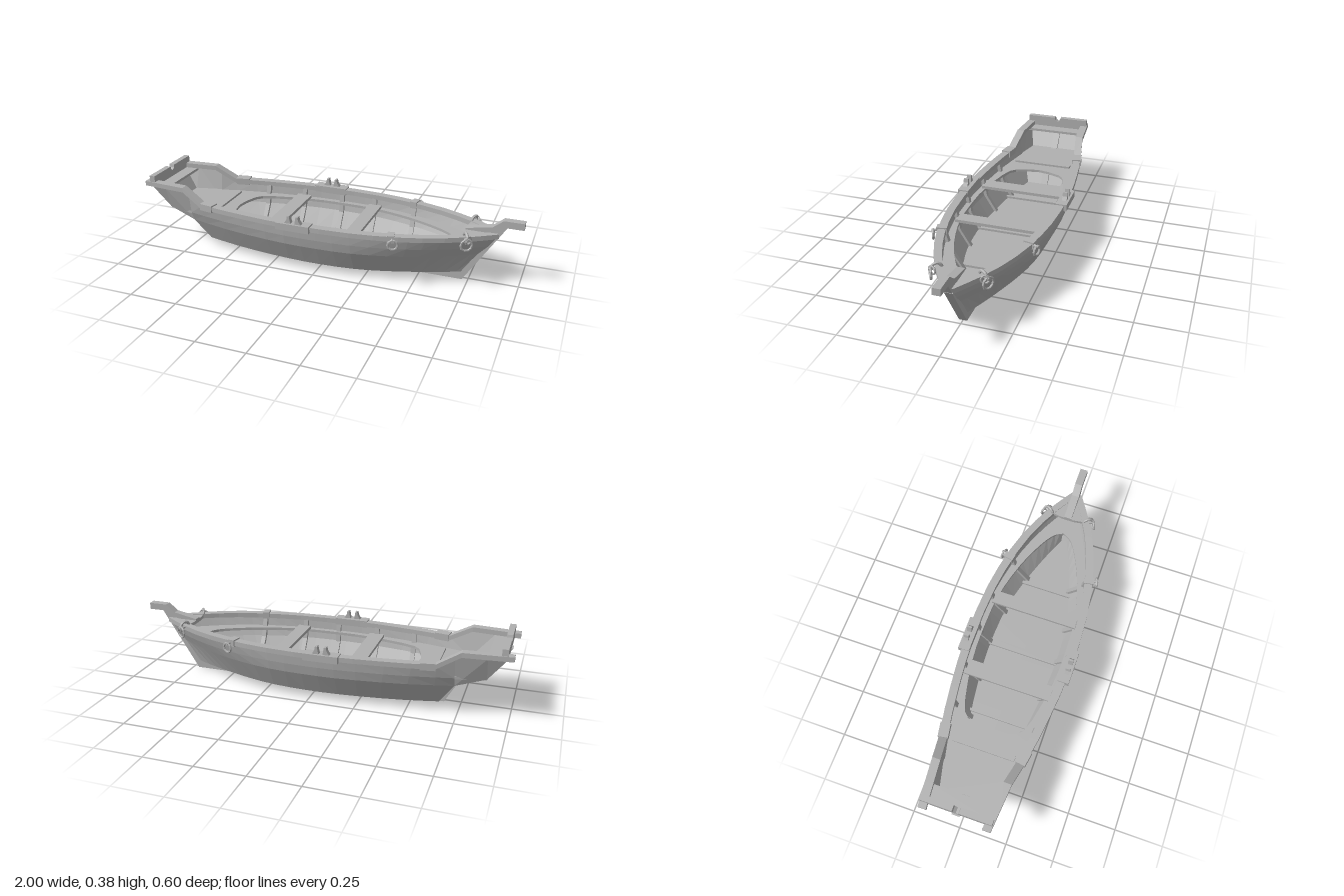
import * as THREE from 'three';

const grey = new THREE.MeshStandardMaterial({ color: 0xb0b0b0, side: THREE.DoubleSide });
grey.name = 'weathered grey';

const V = (x, y, z) => new THREE.Vector3(x, y, z);
const spline = (pts, n) => new THREE.SplineCurve(pts.map(p => new THREE.Vector2(...p))).getPoints(n);

// piecewise-linear lookup of y at x
function lookup(pts, x) {
  for (let i = 1; i < pts.length; i++) {
    const a = pts[i - 1], b = pts[i];
    if (x <= b.x || i === pts.length - 1) return a.y + (b.y - a.y) * THREE.MathUtils.clamp((x - a.x) / (b.x - a.x), 0, 1);
  }
}

// faceted skin through rows of points
function loft(rows, closed = false) {
  const pos = [];
  const m = rows[0].length;
  for (let i = 0; i < rows.length - 1; i++) {
    for (let j = 0; j < (closed ? m : m - 1); j++) {
      const k = (j + 1) % m;
      const a = rows[i][j], b = rows[i + 1][j], c = rows[i + 1][k], d = rows[i][k];
      for (const p of [a, b, c, a, c, d]) pos.push(p.x, p.y, p.z);
    }
  }
  const g = new THREE.BufferGeometry();
  g.setAttribute('position', new THREE.Float32BufferAttribute(pos, 3));
  g.computeVertexNormals();
  return g;
}

export function createModel() {
  const boat = new THREE.Group();
  boat.name = 'rowingBoat';
  const add = (name, geo, x = 0, y = 0, z = 0) => {
    const g = geo.index ? geo.toNonIndexed() : geo;
    g.computeVertexNormals();
    const mesh = new THREE.Mesh(g, grey);
    mesh.name = name;
    mesh.position.set(x, y, z);
    boat.add(mesh);
    return mesh;
  };
  const box = (name, w, h, d, x, y, z) => add(name, new THREE.BoxGeometry(w, h, d), x, y, z);

  // half-width lines of the hull: bottom, chine and sheer
  const N = 18;
  const bottom = spline([[-0.655, 0.115], [-0.45, 0.16], [-0.2, 0.192], [0, 0.2], [0.2, 0.186], [0.36, 0.15], [0.5, 0.105], [0.62, 0.06], [0.73, 0.012]], N);
  const chine = spline([[-0.73, 0.155], [-0.48, 0.213], [-0.2, 0.25], [0, 0.256], [0.2, 0.244], [0.4, 0.2], [0.55, 0.146], [0.69, 0.08], [0.8, 0.014]], N);
  const sheer = spline([[-0.73, 0.193], [-0.5, 0.235], [-0.2, 0.268], [0, 0.273], [0.2, 0.263], [0.42, 0.228], [0.6, 0.172], [0.75, 0.1], [0.885, 0.014]], N);
  const sheerY = x => THREE.MathUtils.lerp(0.255, 0.325, THREE.MathUtils.clamp((-0.64 - x) / 0.12, 0, 1));
  const sheerZ = x => x < -0.73 ? THREE.MathUtils.mapLinear(x, -1, -0.73, 0.17, 0.193) : lookup(sheer, x);

  // cross-section of one side at station i, inset for the inner skin
  const section = (i, s, inset, floorY) => {
    const z = w => s * Math.max(w - inset, 0);
    const b = bottom[i], c = chine[i], t = sheer[i];
    return [V(b.x, floorY, 0), V(b.x, floorY, z(b.y)), V(c.x, 0.155, z(c.y)),
      V((c.x + t.x) / 2, 0.205, z((c.y + t.y) / 2 + 0.003)), V(t.x, sheerY(t.x) + 0.005, z(t.y))];
  };

  for (const s of [1, -1]) {
    const side = s > 0 ? 'left' : 'right';
    const stations = [...Array(N + 1).keys()];
    add(side + 'HullOuter', loft(stations.map(i => section(i, s, 0, 0.042))));
    add(side + 'HullInner', loft(stations.slice(0, N).map(i => section(i, s, 0.014, 0.062))));

    // lower transom and overhanging counter
    add(side + 'LowerTransom', loft([
      [V(-0.655, 0.042, 0), V(-0.655, 0.042, s * 0.115)],
      [V(-0.73, 0.155, 0), V(-0.73, 0.155, s * 0.155)]]));
    add(side + 'Counter', loft([
      [V(-0.73, 0.155, 0), V(-0.73, 0.155, s * 0.155), V(-0.73, 0.325, s * 0.193)],
      [V(-0.88, 0.203, 0), V(-0.88, 0.203, s * 0.138), V(-0.88, 0.325, s * 0.18)],
      [V(-0.972, 0.33, 0), V(-0.972, 0.33, s * 0.165), V(-0.972, 0.33, s * 0.172)]]));

    // gunwale rail with its raised stern
    const xs = [-1, -0.88, -0.76, -0.64, -0.5, -0.38, -0.25, -0.1, 0.05, 0.2, 0.32, 0.44, 0.55, 0.65, 0.75, 0.82, 0.885];
    const rail = loft(xs.map(x => {
      const y = sheerY(x), o = s * (sheerZ(x) + 0.012), n = s * Math.max(sheerZ(x) - 0.03, 0);
      return [V(x, y, n), V(x, y, o), V(x, y + 0.025, o), V(x, y + 0.025, n)];
    }), true);
    add(side + 'Rail', rail);
    box(side + 'RailEnd', 0.008, 0.025, 0.042, -0.997, 0.3375, s * 0.161);

    // rail sleeves
    for (const [x, w] of [[-0.605, 0.075], [0.4, 0.035]])
      box(side + 'RailSleeve', w, 0.036, 0.052, x, 0.269, s * (sheerZ(x) - 0.009)).rotation.y = x < 0 ? -s * 0.17 : s * 0.2;

    // rowlock: pad and two rounded horns
    box(side + 'RowlockPad', 0.18, 0.036, 0.058, -0.09, 0.268, s * 0.269);
    for (const d of [-1, 1]) {
      const horn = new THREE.Shape([[0.01, 0], [0.045, 0], [0.032, 0.02], [0.028, 0.04], [0.018, 0.04], [0.014, 0.018]].map(p => new THREE.Vector2(d * p[0], p[1])));
      add(side + 'RowlockHorn', new THREE.ExtrudeGeometry(horn, { depth: 0.025, bevelEnabled: false }), -0.09, 0.285, s * 0.274 - 0.0125);
    }

    // frames against the inner planking
    for (const x of [-0.45, -0.24, -0.02, 0.17, 0.4]) {
      const zs = [lookup(bottom, x), lookup(chine, x), lookup(sheer, x)];
      const ys = [0.062, 0.155, 0.26];
      add(side + 'Frame', loft(zs.map((z, i) => {
        const o = s * (z - 0.01), n = s * (z - 0.03);
        return [V(x - 0.012, ys[i], o), V(x - 0.012, ys[i], n), V(x + 0.012, ys[i], n), V(x + 0.012, ys[i], o)];
      }), true));
    }

    // mooring rings hanging outside the rail
    for (const [x, z, r, a] of [[0.42, 0.262, 0.024, 0.32], [0.75, 0.137, 0.029, 0.55]]) {
      const ring = add(side + 'MooringRing', new THREE.TorusGeometry(r, 0.006, 6, 10), x, 0.248, s * z);
      ring.rotation.y = s * a;
      const bolt = add(side + 'RingBolt', new THREE.CylinderGeometry(0.007, 0.007, 0.045, 6).rotateX(Math.PI / 2), x - 0.006, 0.27, s * (z - 0.012));
      bolt.rotation.y = s * a;
    }
    // bow eyes on top of the rail
    const eye = add(side + 'BowEye', new THREE.TorusGeometry(0.024, 0.008, 6, 10, Math.PI), 0.74, 0.274, s * 0.11);
    eye.rotation.y = s * (0.55 + Math.PI / 2);
    const link = add(side + 'BowLink', new THREE.TorusGeometry(0.02, 0.005, 6, 10), 0.755, 0.268, s * 0.125);
    link.rotation.y = s * 1.1;
  }

  // keel, stem and sternpost in one curved backbone
  const spine = new THREE.Shape([[-0.665, 0], [0.72, 0], [0.92, 0.315], [1, 0.315], [1, 0.35], [0.9, 0.35], [0.85, 0.31],
    [0.72, 0.285], [0.72, 0.262], [0.85, 0.262], [0.7, 0.045], [-0.645, 0.045], [-0.72, 0.165], [-0.87, 0.213],
    [-0.96, 0.33], [-0.98, 0.33], [-0.885, 0.195], [-0.745, 0.14]].map(p => new THREE.Vector2(...p)));
  add('keelAndStem', new THREE.ExtrudeGeometry(spine, { depth: 0.04, bevelEnabled: false }), 0, 0, -0.02);

  // horizontal plate drawn in x and z
  const plate = (name, shape, y, depth) =>
    add(name, new THREE.ExtrudeGeometry(shape, { depth, bevelEnabled: false, curveSegments: 8 }).rotateX(Math.PI / 2), 0, y, 0);
  const mirrored = half => [...half, ...half.slice().reverse().map(p => new THREE.Vector2(p.x, -p.y))];

  // stern deck running into side shelves and bow shelf
  const outer = [new THREE.Vector2(-0.88, 0.135)];
  for (let i = 0; i <= N; i++)
    outer.push(new THREE.Vector2((chine[i].x + sheer[i].x) / 2 - (i === N ? 0.01 : 0), Math.max((chine[i].y + sheer[i].y) / 2 - 0.004, 0.003)));
  const deck = new THREE.Shape(mirrored(outer));
  const well = spline([[-0.53, 0.002], [-0.51, 0.09], [-0.45, 0.165], [-0.2, 0.217], [0, 0.225], [0.2, 0.213], [0.4, 0.163], [0.55, 0.1], [0.63, 0.05], [0.66, 0.002]], 24);
  deck.holes.push(new THREE.Path(mirrored(well)));
  plate('deckShelf', deck, 0.21, 0.014);

  // breasthook closing the bow
  plate('breasthook', new THREE.Shape(mirrored([new THREE.Vector2(0.72, 0.035), new THREE.Vector2(0.73, 0.1), new THREE.Vector2(0.87, 0.012)])), 0.277, 0.018);

  // thwarts and floor timbers
  for (const [x, w, l] of [[-0.24, 0.08, 0.47], [0.175, 0.07, 0.466]]) box('thwart', w, 0.016, l, x, 0.217, 0);
  for (const [x, w, l] of [[-0.415, 0.015, 0.32], [-0.02, 0.036, 0.39], [0.37, 0.015, 0.28]]) box('floorTimber', w, 0.014, l, x, 0.067, 0);

  // stern seat, cross beam and notched transom board
  box('sternSeat', 0.07, 0.014, 0.33, -0.91, 0.318, 0);
  box('deckBeam', 0.03, 0.014, 0.33, -0.615, 0.214, 0);
  const board = new THREE.Shape([[-0.181, 0.325], [0.181, 0.325], [0.181, 0.384], [0.018, 0.384], [0.014, 0.368], [0, 0.358],
    [-0.014, 0.368], [-0.018, 0.384], [-0.181, 0.384]].map(p => new THREE.Vector2(...p)));
  add('transomBoard', new THREE.ExtrudeGeometry(board, { depth: 0.03, bevelEnabled: false }).rotateY(Math.PI / 2), -0.972, 0, 0);

  return boat;
}
